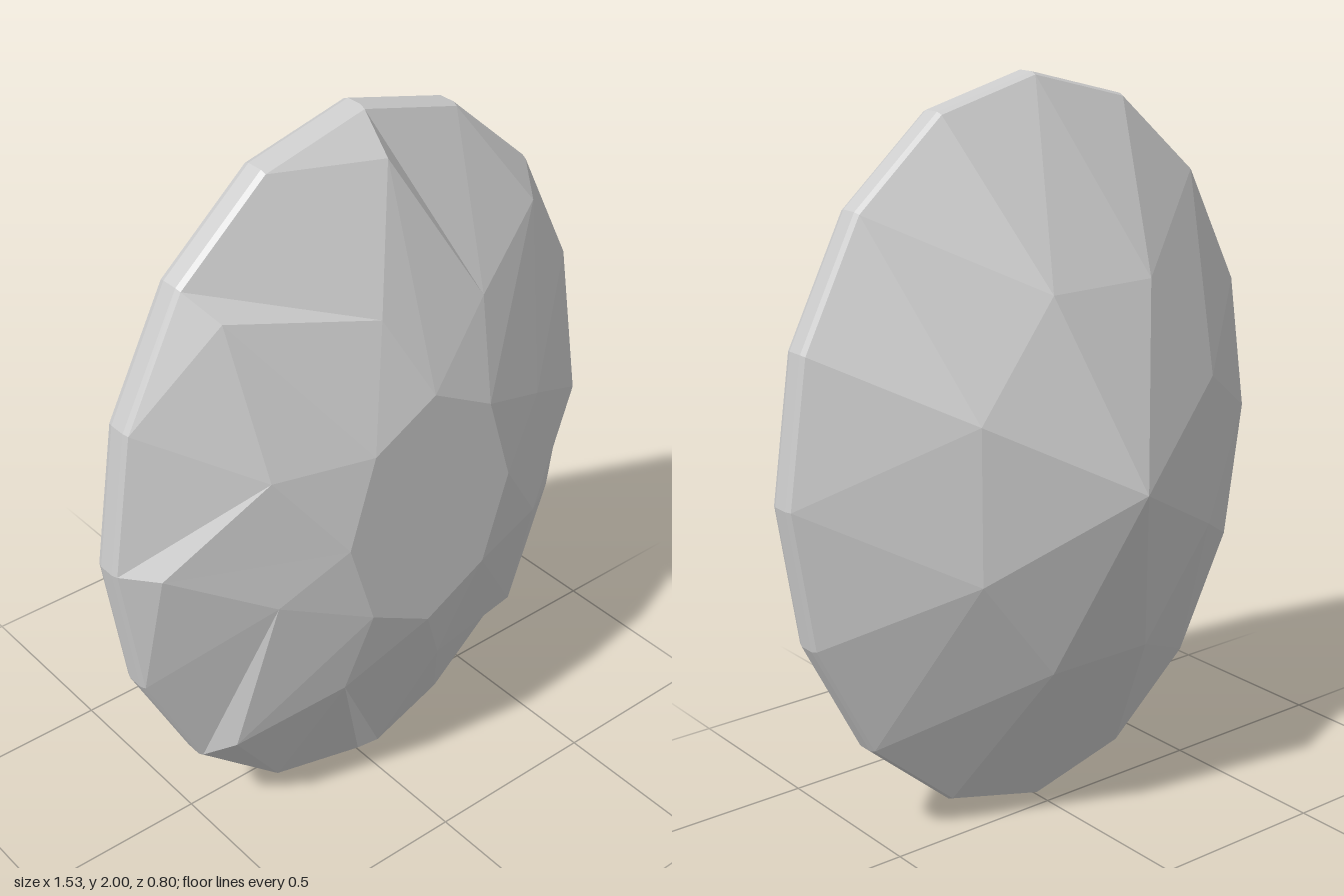
import * as THREE from 'three';

const RX = 0.765, RY = 1;

// Point on an oval: step counts sixteenths of a turn
const oval = (step, r, z) => {
  const a = step * Math.PI / 8;
  return [RX * r * Math.cos(a), 1 + RY * r * Math.sin(a), z];
};

// Flat-faced mesh from a list of triangles
function facets(name, tris, material) {
  const g = new THREE.BufferGeometry();
  g.setAttribute('position', new THREE.Float32BufferAttribute(tris.flat(2), 3));
  g.computeVertexNormals();
  const m = new THREE.Mesh(g, material);
  m.name = name;
  return m;
}

export function createModel() {
  const group = new THREE.Group();
  group.name = 'ovalGem';
  const stone = new THREE.MeshStandardMaterial({ color: 0xcccccc });
  stone.name = 'pale grey stone';

  const front = i => oval(i, 0.993, 0.125);
  const back = i => oval(i, 0.993, 0.048);
  const shoulder = k => oval(2 * k, 0.9, 0.21);
  const rim = k => oval(2 * k, 0.345, 0.4);

  // Inner ends of the swirling notches, half a turn repeated
  const half = [[0.444, -0.24], [0.429, 0.141], [0.217, 0.51], [-0.109, 0.56]];
  const tip = k => {
    const s = k < 4 ? 1 : -1;
    const [x, y] = half[k % 4];
    return [s * x, 1 + s * y, 0.325];
  };

  const table = [], crown = [], notches = [], girdle = [], pavilion = [];
  for (let k = 0; k < 8; k++) {
    const T = tip(k), A = shoulder(k), A0 = shoulder(k - 1);
    const V = rim(k), V0 = rim(k - 1);
    const G = front(2 * k), M = front(2 * k - 1), G0 = front(2 * k - 2);
    table.push([[0, 1, 0.4], V0, V]);
    notches.push([G, A, T]);
    crown.push([G, T, M], [A, V, T], [T, V, V0], [T, V0, A0], [T, A0, M], [A0, G0, M]);

    // Back: point, inner ring and outer facets
    const P = [0, 1, -0.4];
    const R0 = oval(2 * k - 1, 0.54, -0.22), R1 = oval(2 * k + 1, 0.54, -0.22);
    const B0 = back(2 * k - 1), B = back(2 * k), B1 = back(2 * k + 1);
    pavilion.push([P, R1, R0], [R0, R1, B], [R0, B, B0], [R1, B1, B]);
  }

  // Thin edge band with small bevels
  const bands = [[0.993, 0.048], [1, 0.064], [1, 0.11], [0.993, 0.125]];
  for (let i = 0; i < 16; i++) {
    for (let j = 0; j < 3; j++) {
      const a = oval(i, ...bands[j]), b = oval(i + 1, ...bands[j]);
      const c = oval(i + 1, ...bands[j + 1]), d = oval(i, ...bands[j + 1]);
      girdle.push([a, b, c], [a, c, d]);
    }
  }

  group.add(
    facets('table', table, stone),
    facets('crown', crown, stone),
    facets('notchWalls', notches, stone),
    facets('girdle', girdle, stone),
    facets('pavilion', pavilion, stone)
  );
  return group;
}
